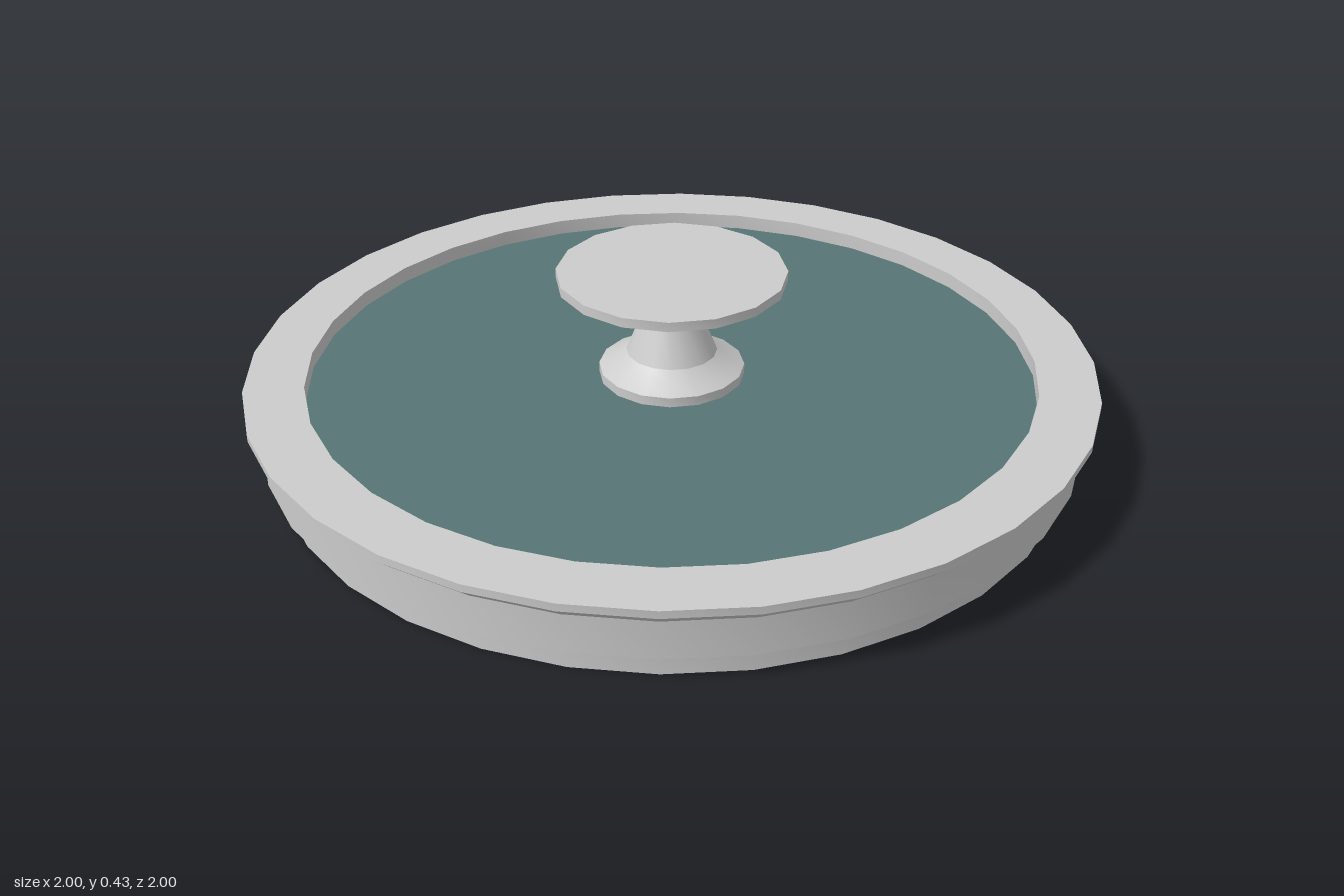
import * as THREE from 'three';
import { toCreasedNormals } from 'three/addons/utils/BufferGeometryUtils.js';

const grey = new THREE.MeshStandardMaterial({ color: 0xcccccc });
const teal = new THREE.MeshStandardMaterial({ color: 0x567474 });

// Turned part: profile of [radius, height] pairs, smooth around, sharp at steps
function turned(name, profile, sides, material) {
  const points = profile.map(([r, y]) => new THREE.Vector2(r, y));
  const geometry = toCreasedNormals(new THREE.LatheGeometry(points, sides), 0.5);
  const mesh = new THREE.Mesh(geometry, material);
  mesh.name = name;
  return mesh;
}

export function createModel() {
  const group = new THREE.Group();
  group.name = 'lid';

  // Closed underside, stepped side, overhanging lip and recessed inner wall
  group.add(turned('rim', [
    [0, 0], [0.938, 0], [0.938, 0.045], [0.968, 0.06], [0.968, 0.15],
    [1, 0.18], [1, 0.198], [0.86, 0.198], [0.86, 0.16],
  ], 32, grey));

  // Coloured panel sunk below the lip
  group.add(turned('panel', [[0.86, 0.16], [0, 0.16]], 32, teal));

  // Knob: foot, narrowing neck and wide flat cap
  group.add(turned('knob', [
    [0.173, 0.16], [0.173, 0.183], [0.135, 0.203], [0.108, 0.222], [0.07, 0.315],
    [0.225, 0.382], [0.27, 0.405], [0.27, 0.428], [0, 0.428],
  ], 16, grey));

  return group;
}
